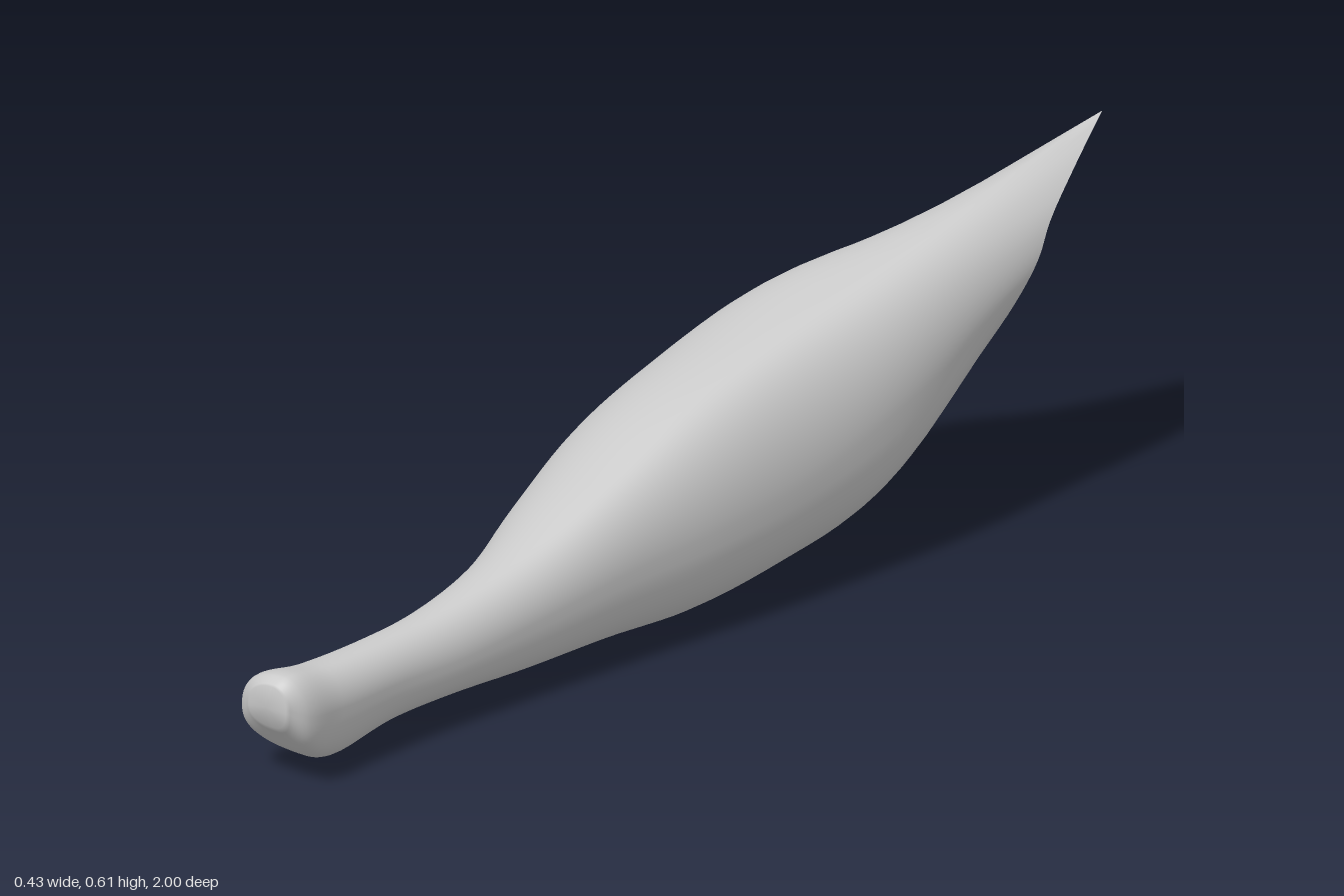
import * as THREE from 'three';

const V = (p) => new THREE.Vector3(...p);
const AROUND = 64, STEPS = 6;

// Cross-sections from the snout backwards: [top, right, bottom, left] extremes
const SECTIONS = [
  [[.115, .192, .997], [.145, .16, .995], [.10, .115, .985], [.06, .15, .993]],
  [[.12, .205, .97], [.163, .14, .955], [.095, .05, .92], [.012, .125, .955]],
  [[.11, .19, .87], [.158, .13, .87], [.09, .028, .86], [.012, .12, .87]],
  [[.10, .19, .72], [.152, .13, .72], [.09, .048, .72], [.022, .12, .72]],
  [[.10, .20, .58], [.156, .13, .58], [.085, .05, .58], [.012, .12, .58]],
  [[.10, .236, .4], [.166, .15, .4], [.075, .04, .4], [-.03, .12, .4]],
  [[.10, .305, .2], [.182, .18, .2], [.045, .03, .2], [-.12, .125, .2]],
  [[.09, .378, 0], [.198, .2, 0], [-.02, .006, 0], [-.188, .15, 0]],
  [[.09, .432, -.2], [.207, .23, -.2], [-.05, .018, -.19], [-.213, .18, -.17]],
  [[.10, .50, -.5], [.213, .31, -.45], [-.03, .055, -.32], [-.211, .195, -.29]],
];

// Rim of the slanted mouth, from the pointed tip round and back to it
const RIM = [
  [.11, .617, -1], [.15, .56, -.89], [.18, .5, -.8], [.192, .45, -.76],
  [.19, .4, -.72], [.165, .33, -.68], [.125, .25, -.63], [.06, .17, -.565],
  [-.05, .11, -.47], [-.11, .09, -.42], [-.155, .09, -.385], [-.185, .13, -.37],
  [-.2, .2, -.39], [-.187, .3, -.49], [-.13, .395, -.61], [-.03, .475, -.71],
  [.11, .617, -1],
];

// Rounded outline made of four quarter arcs; the lower two are squarer
function sectionPoint(s, j) {
  const f = j / AROUND * 4, q = Math.floor(f) % 4, t = f - Math.floor(f);
  const a = s[q], b = s[(q + 1) % 4];
  const p = q === 1 || q === 2 ? .82 : 1;
  const c = Math.pow(Math.cos(t * Math.PI / 2), p);
  const d = Math.pow(Math.sin(t * Math.PI / 2), p);
  const z = a[2] + (b[2] - a[2]) * t * t * (3 - 2 * t);
  return q % 2 === 0
    ? V([a[0] + (b[0] - a[0]) * d, b[1] + (a[1] - b[1]) * c, z])
    : V([b[0] + (a[0] - b[0]) * c, a[1] + (b[1] - a[1]) * d, z]);
}

export function createModel() {
  const group = new THREE.Group();
  const rim = new THREE.CatmullRomCurve3(RIM.map(V));
  const rows = SECTIONS.length * STEPS;
  const positions = [], index = [];

  // Smooth lengthwise curves run from the snout through every section to the rim
  const columns = [];
  for (let j = 0; j < AROUND; j++) {
    columns.push(new THREE.CatmullRomCurve3(
      [...SECTIONS.map((s) => sectionPoint(s, j)), rim.getPoint(j / AROUND)]));
  }
  for (let i = 0; i <= rows; i++) {
    for (const c of columns) positions.push(...c.getPoint(i / rows).toArray());
  }
  for (let i = 0; i < rows; i++) {
    for (let j = 0; j < AROUND; j++) {
      const k = (j + 1) % AROUND;
      const a = i * AROUND + j, b = i * AROUND + k;
      index.push(a, b, a + AROUND, b, b + AROUND, a + AROUND);
    }
  }

  // Closed snout end
  const centre = positions.length / 3;
  positions.push(.105, .155, 1);
  for (let j = 0; j < AROUND; j++) index.push(centre, (j + 1) % AROUND, j);

  const geometry = new THREE.BufferGeometry();
  geometry.setAttribute('position', new THREE.Float32BufferAttribute(positions, 3));
  geometry.setIndex(index);
  geometry.computeVertexNormals();

  const shell = new THREE.Mesh(geometry, new THREE.MeshStandardMaterial({
    color: 0xcccccc, side: THREE.DoubleSide,
  }));
  shell.name = 'openShell';
  group.add(shell);
  return group;
}
